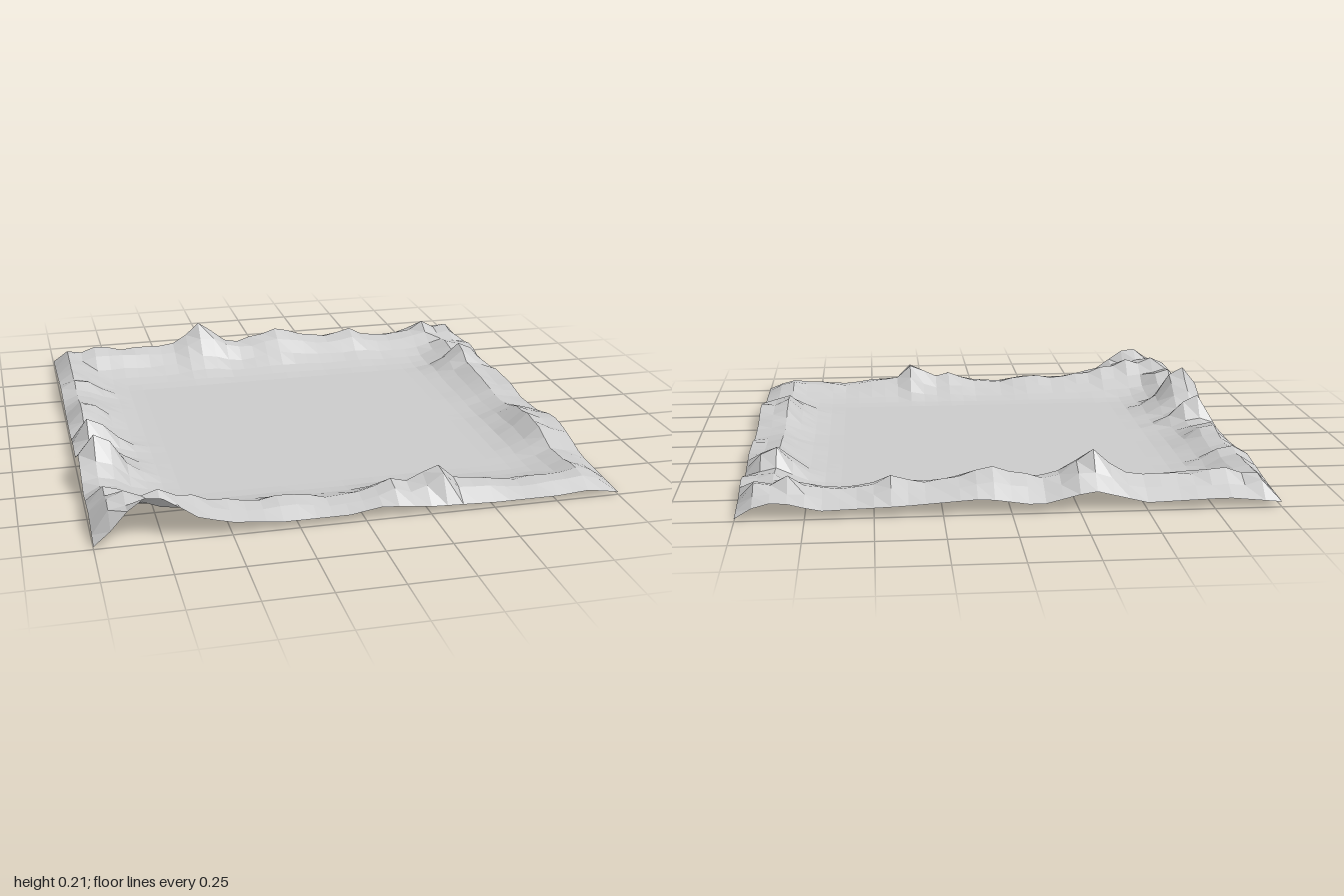
import * as THREE from 'three';

const SEG = 32, STEP = 2 / SEG;

// Linear interpolation through [position, height] stops
function sample(stops, t) {
  for (let i = 1; i < stops.length; i++) {
    const [a, ha] = stops[i - 1], [b, hb] = stops[i];
    if (t <= b) return ha + (hb - ha) * (t - a) / (b - a);
  }
  return stops[stops.length - 1][1];
}

// Repeatable noise in -1..1 from grid indices
function noise(i, j) {
  const s = Math.sin(i * 127.1 + j * 311.7) * 43758.5453;
  return 2 * (s - Math.floor(s)) - 1;
}

// Each ridge: crest height along the side, height of the outer rim,
// and the cross-section counted in grid cells inward from the rim
const ridges = {
  back: {
    crest: [[-1, .08], [-.81, .11], [-.62, .1], [-.5, .1], [-.44, .11], [-.37, .16], [-.31, .195], [-.25, .17],
      [-.19, .12], [-.12, .1], [0, .13], [.06, .155], [.12, .14], [.25, .1], [.37, .1], [.44, .12], [.56, .075],
      [.7, .08], [.81, .12], [.88, .1], [.94, .11], [1, .07]],
    rim: [[-1, .02], [-.8, .04], [-.5, .03], [-.3, .08], [-.1, .03], [.1, .06], [.4, .04], [.7, .03], [.85, .07], [1, .03]],
    profile: [0, .72, 1, .8, .42, .17, .05],
  },
  front: {
    crest: [[-1, .1], [-.88, .15], [-.75, .14], [-.62, .11], [-.5, .08], [-.37, .07], [-.25, .08], [-.12, .05], [0, .06],
      [.12, .1], [.19, .08], [.25, .11], [.31, .15], [.37, .08], [.5, .07], [.62, .05], [.75, .06], [.88, .07], [1, .05]],
    rim: [[-1, .01], [-.94, .06], [-.88, .13], [-.81, .18], [-.75, .17], [-.69, .13], [-.62, .08], [-.5, .05], [-.31, .03],
      [-.06, .03], [.06, .05], [.25, .03], [.5, .02], [.75, .02], [.88, .03], [1, .01]],
    profile: [0, .85, 1, .6, .25, .06],
  },
  left: {
    crest: [[-1, .08], [-.75, .09], [-.56, .08], [-.5, .1], [-.44, .07], [-.31, .08], [-.19, .1], [-.06, .07], [0, .06],
      [.06, .06], [.12, .145], [.19, .08], [.25, .07], [.31, .13], [.37, .165], [.44, .2], [.5, .12], [.56, .08],
      [.65, .08], [.75, .125], [.88, .12], [1, .08]],
    rim: [[-1, .02], [-.8, .03], [-.5, .06], [-.25, .03], [0, .03], [.12, .05], [.25, .04], [.44, .13], [.62, .04], [.81, .06], [1, .01]],
    profile: [0, 1, .8, .4, .15, .03],
  },
  right: {
    crest: [[-1, .08], [-.72, .08], [-.56, .07], [-.5, .14], [-.44, .13], [-.37, .08], [-.25, .075], [-.12, .07], [0, .05],
      [.12, .06], [.19, .08], [.37, .1], [.5, .1], [.62, .05], [.75, .06], [.88, .07], [1, .05]],
    rim: [[-1, .01], [-.8, .03], [-.72, .06], [-.65, .06], [-.5, .02], [-.31, .055], [-.12, .05], [0, .03],
      [.19, .04], [.31, .07], [.4, .08], [.55, .05], [.65, .02], [1, .01]],
    profile: [0, .75, 1, .5, .18, .04],
  },
};

function terrainHeight(x, z) {
  const cells = (d) => Math.round(d / STEP);
  const sides = [
    [ridges.back, cells(z + 1), x], [ridges.front, cells(1 - z), x],
    [ridges.left, cells(x + 1), z], [ridges.right, cells(1 - x), z],
  ];
  const edge = sides.filter(([, d]) => d === 0);
  if (edge.length) return Math.min(...edge.map(([r, , t]) => sample(r.rim, t)));
  let h = 0;
  for (const [r, d, t] of sides) h = Math.max(h, sample(r.crest, t) * (r.profile[d] ?? 0));
  return h * (1 + .1 * noise(cells(x), cells(z)));
}

export function createModel() {
  const group = new THREE.Group();
  group.name = 'terrain';

  // Flat basin ringed by low, rugged hills, as one open sheet
  const geometry = new THREE.PlaneGeometry(2, 2, SEG, SEG);
  geometry.rotateX(-Math.PI / 2).rotateY(Math.PI / 2);
  const p = geometry.attributes.position;
  for (let i = 0; i < p.count; i++) p.setY(i, terrainHeight(p.getX(i), p.getZ(i)));
  geometry.computeVertexNormals();

  const material = new THREE.MeshStandardMaterial({ color: 0xcccccc, flatShading: true, side: THREE.DoubleSide });
  const ground = new THREE.Mesh(geometry, material);
  ground.name = 'basinWithHills';
  group.add(ground);
  return group;
}
